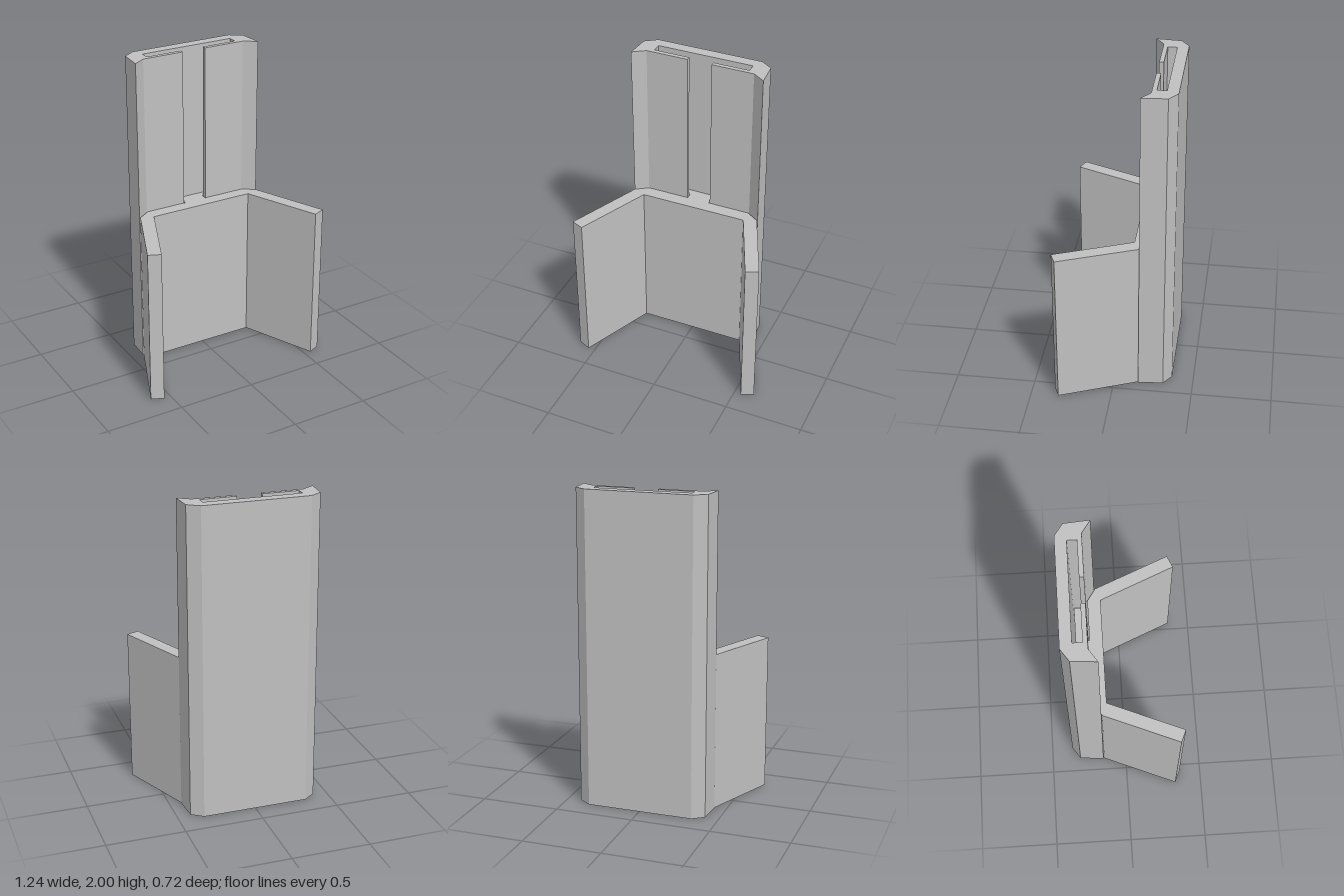
import * as THREE from 'three';

// Mirrors a half outline (x >= 0, listed as [x, z]) and extrudes it upward from y = 0
function mirroredPrism(half, height, material, name) {
  const mirror = half.map(([x, z]) => [-x, z]).reverse();
  const points = [...half, ...mirror].map(([x, z]) => new THREE.Vector2(x, -z));
  const geometry = new THREE.ExtrudeGeometry(new THREE.Shape(points), {
    depth: height, bevelEnabled: false, steps: 1,
  });
  geometry.rotateX(-Math.PI / 2);
  const mesh = new THREE.Mesh(geometry, material);
  mesh.name = name;
  return mesh;
}

export function createModel() {
  const group = new THREE.Group();
  group.name = 'slidingBracket';
  const grey = new THREE.MeshStandardMaterial({ color: 0xc0c0c0 });
  grey.name = 'grey';

  // Tall back rail with a T-shaped slot open to the front
  group.add(mirroredPrism([
    [0.338, -0.363], [0.413, -0.311], [0.425, -0.154], [0.347, -0.207],
    [0.078, -0.207], [0.078, -0.235], [0.307, -0.235], [0.307, -0.293],
  ], 2, grey, 'slottedRail'));

  // Short holder: splayed arms in front, T-shaped tongue running in the slot
  group.add(mirroredPrism([
    [0.298, -0.287], [0.298, -0.243], [0.073, -0.243], [0.073, -0.2],
    [0.344, -0.2], [0.423, -0.147], [0.622, 0.327], [0.545, 0.36],
    [0.343, -0.117],
  ], 1, grey, 'slidingHolder'));

  return group;
}
